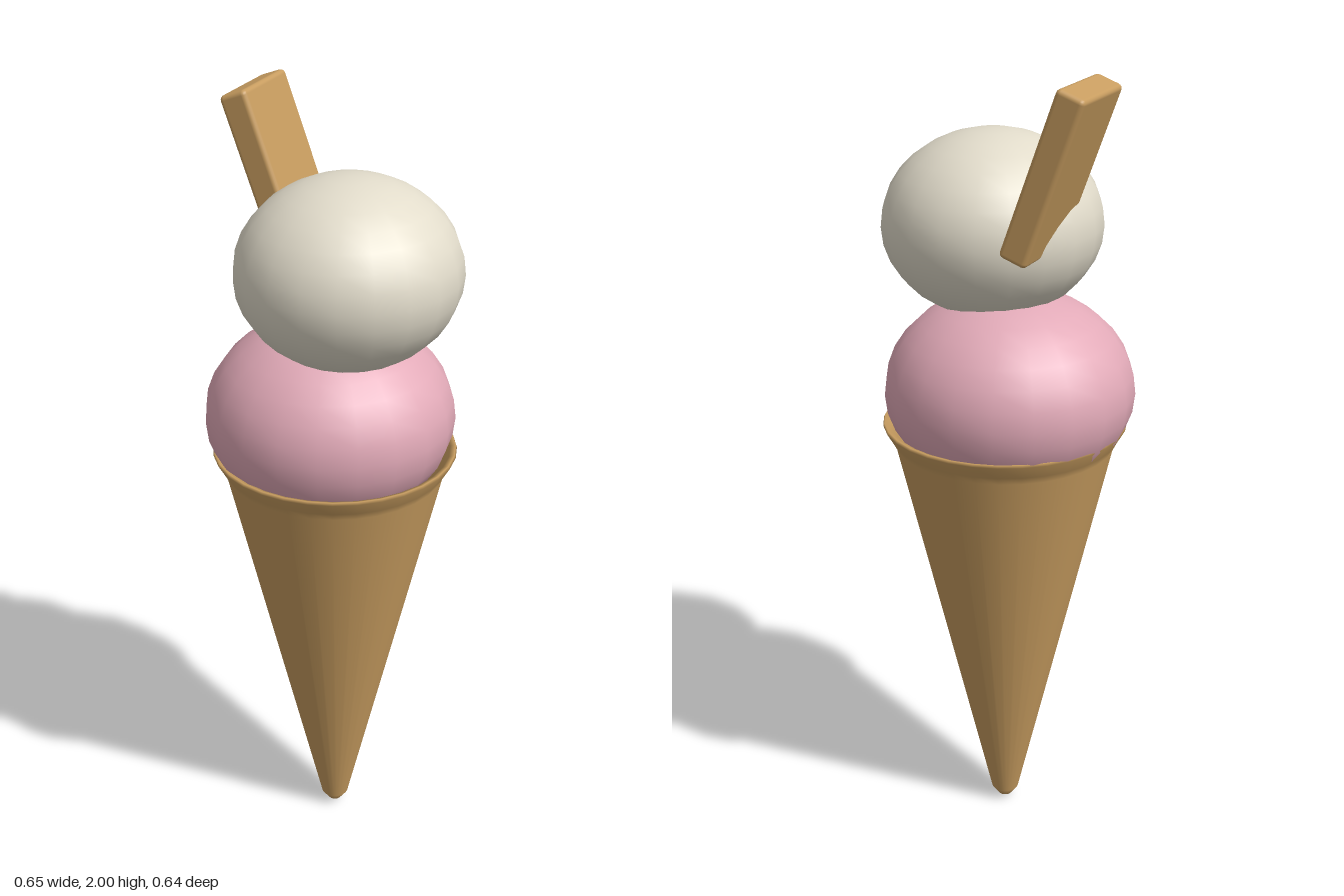
import * as THREE from 'three';
import { RoundedBoxGeometry } from 'three/addons/geometries/RoundedBoxGeometry.js';

export function createModel() {
  const group = new THREE.Group();
  const material = (name, color) => {
    const m = new THREE.MeshStandardMaterial({ color });
    m.name = name;
    return m;
  };
  const wafer = material('wafer tan', 0xc89d60);
  const pink = material('strawberry pink', 0xe2aab8);
  const cream = material('vanilla cream', 0xe2dccb);

  const add = (name, geometry, mat, x, y, z) => {
    const mesh = new THREE.Mesh(geometry, mat);
    mesh.name = name;
    mesh.position.set(x, y, z);
    group.add(mesh);
    return mesh;
  };

  // Cone with a blunt tip, flared rim and a lip that turns inside
  const profile = [
    [0, 0], [0.018, 0.01], [0.036, 0.035], [0.275, 1.075], [0.285, 1.095],
    [0.305, 1.13], [0.302, 1.137], [0.288, 1.132], [0.265, 1.08], [0.2, 0.8],
  ].map(([r, y]) => new THREE.Vector2(r, y));
  add('cone', new THREE.LatheGeometry(profile, 32), wafer, 0, 0, -0.006);

  // Squashed scoops
  const scoop = (name, mat, position, size) =>
    add(name, new THREE.SphereGeometry(1, 20, 16), mat, ...position).scale.set(...size);
  scoop('lowerScoop', pink, [-0.015, 1.22, -0.01], [0.311, 0.25, 0.309]);
  scoop('upperScoop', cream, [0.055, 1.62, 0.04], [0.27, 0.226, 0.277]);

  // Wafer biscuit leaning out to the side
  const biscuit = add('waferBiscuit',
    new RoundedBoxGeometry(0.072, 0.412, 0.223, 2, 0.012), wafer, -0.185, 1.798, -0.104);
  biscuit.rotation.z = THREE.MathUtils.degToRad(20);

  return group;
}
